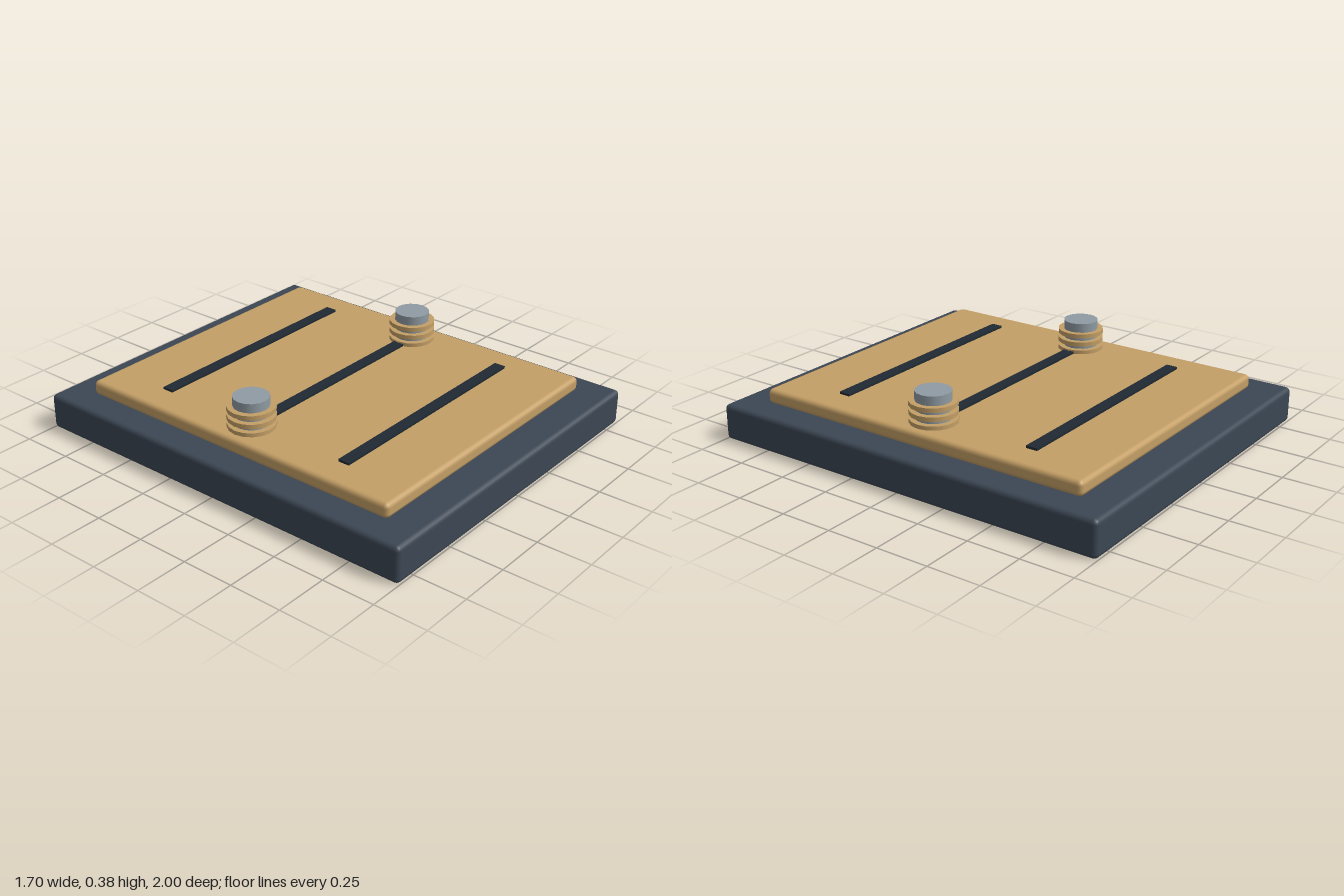
import * as THREE from 'three';
import { RoundedBoxGeometry } from 'three/addons/geometries/RoundedBoxGeometry.js';

const material = (name, color) => {
  const m = new THREE.MeshStandardMaterial({ color });
  m.name = name;
  return m;
};

export function createModel() {
  const slate = material('slate', 0x3c4754);
  const brass = material('brass', 0xc49f66);
  const steel = material('steel', 0x8f9ba3);
  const dark = material('dark groove', 0x202a32);

  const model = new THREE.Group();
  model.name = 'terminalPlate';

  const add = (parent, name, geometry, mat, x, y, z) => {
    const mesh = new THREE.Mesh(geometry, mat);
    mesh.name = name;
    mesh.position.set(x, y, z);
    parent.add(mesh);
  };

  // Bevelled base slab and the plate resting on it
  add(model, 'base', new RoundedBoxGeometry(1.7, 0.17, 2, 2, 0.022), slate, 0, 0.085, 0);
  add(model, 'topPlate', new RoundedBoxGeometry(1.445, 0.07, 1.695, 2, 0.022), brass, 0, 0.205, 0);

  // Three dark strips across the plate
  const strip = new THREE.BoxGeometry(1.155, 0.02, 0.055);
  for (const z of [-0.51, 0, 0.51]) add(model, 'strip', strip, dark, 0, 0.241, z);

  // A pair of posts, each wrapped in three rings
  const core = new THREE.CylinderGeometry(0.082, 0.082, 0.15, 16);
  const ring = new THREE.CylinderGeometry(0.109, 0.109, 0.021, 16);
  for (const side of [1, -1]) {
    const post = new THREE.Group();
    post.name = side > 0 ? 'leftPost' : 'rightPost';
    post.position.x = side * 0.574;
    add(post, 'postCore', core, steel, 0, 0.309, 0);
    for (const y of [0.248, 0.289, 0.33]) add(post, 'postRing', ring, brass, 0, y, 0);
    model.add(post);
  }
  return model;
}
